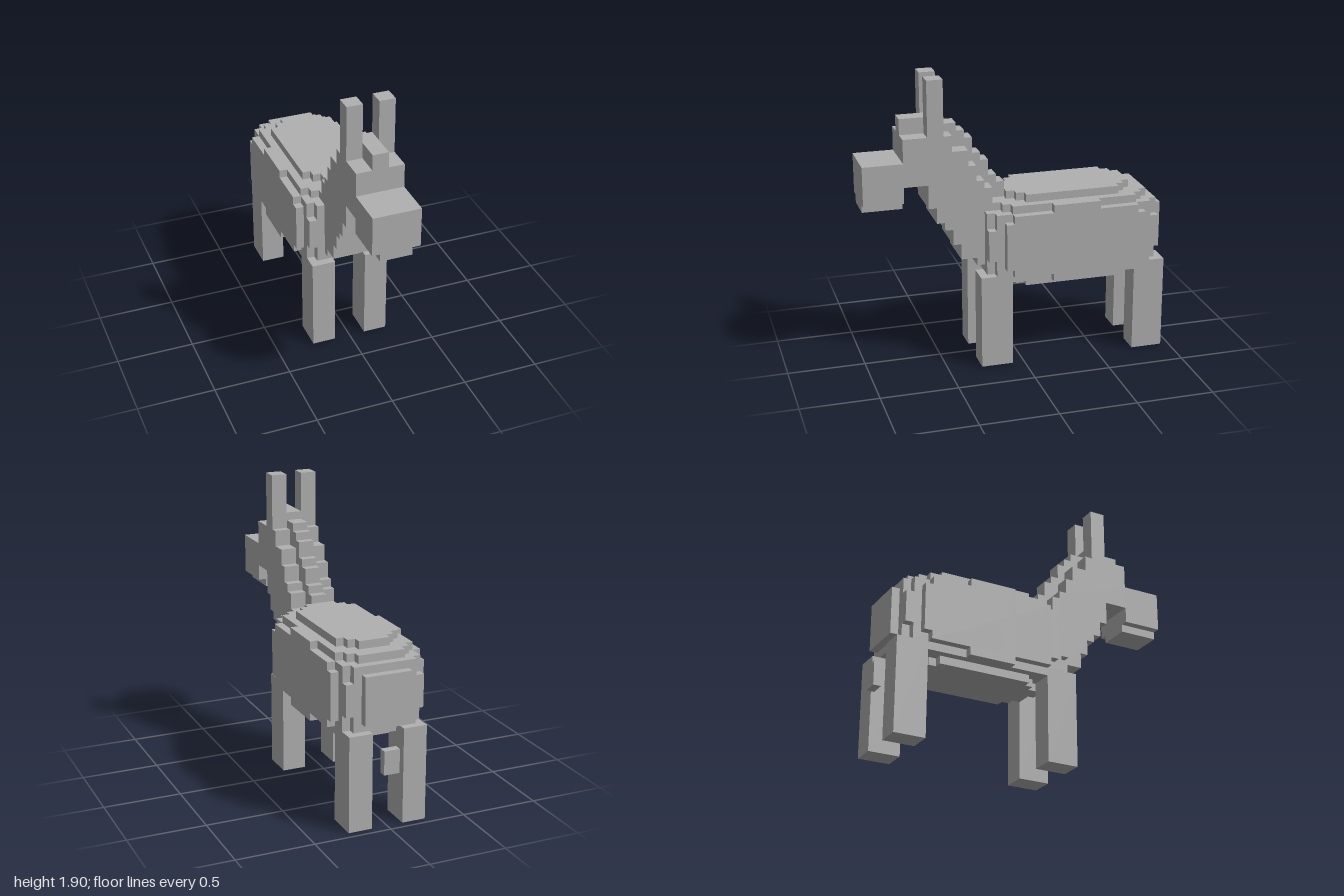
import * as THREE from 'three';

const U = 2 / 39; // edge of one block; all sizes below are counted in blocks

export function createModel() {
  const model = new THREE.Group();
  const grey = new THREE.MeshStandardMaterial({ color: 0xb0b0b0 });
  grey.name = 'grey';

  // Box between block coordinates; z is counted forward from the tail tip
  function box(name, x0, x1, y0, y1, z0, z1, parent = model) {
    const mesh = new THREE.Mesh(
      new THREE.BoxGeometry((x1 - x0) * U, (y1 - y0) * U, (z1 - z0) * U), grey);
    mesh.position.set((x0 + x1) / 2 * U, (y0 + y1) / 2 * U, (z0 + z1) / 2 * U - 1);
    mesh.name = name;
    parent.add(mesh);
  }

  // Stepped side profile, extruded across x. Steps are [zEnd, y] columns.
  function stepped(name, halfWidth, zStart, bottom, top) {
    const lower = [], upper = [];
    const trace = (steps, out) => {
      let z = zStart;
      for (const [zEnd, y] of steps) {
        out.push(new THREE.Vector2(z * U - 1, y * U), new THREE.Vector2(zEnd * U - 1, y * U));
        z = zEnd;
      }
    };
    trace(bottom, lower);
    trace(top, upper);
    const shape = new THREE.Shape([...lower, ...upper.reverse()]);
    const geometry = new THREE.ExtrudeGeometry(shape, { depth: 2 * halfWidth * U, bevelEnabled: false });
    geometry.translate(0, 0, -halfWidth * U);
    geometry.rotateY(-Math.PI / 2);
    const mesh = new THREE.Mesh(geometry, grey);
    mesh.name = name;
    model.add(mesh);
  }

  // Barrel body: nested slabs [half width, y0, y1, z0, z1]
  const body = new THREE.Group();
  body.name = 'body';
  model.add(body);
  const slabs = [
    [2, 10, 22, 5, 21], [3, 10, 22, 6, 20], [4, 10, 22, 7, 19],
    [3, 11, 21, 3, 23], [4, 11, 21, 4, 22], [5, 11, 21, 5, 21], [6, 11, 21, 10, 16],
    [4, 12, 20, 2, 24], [5, 12, 20, 3, 23], [6, 12, 20, 5, 21],
    [5, 14, 18, 2, 24], [6, 13, 19, 4, 22], [3, 13, 19, 1, 25],
  ];
  for (const [w, y0, y1, z0, z1] of slabs) box('bodySlab', -w, w, y0, y1, z0, z1, body);

  // Legs and ears, mirrored
  for (const [side, s] of [['left', 1], ['right', -1]]) {
    const pair = (a, b) => (s > 0 ? [a, b] : [-b, -a]);
    box(side + 'FrontLeg', ...pair(2, 5), 0, 12, 21, 25);
    box(side + 'BackLeg', ...pair(2, 5), 0, 12, 1, 5);
    box(side + 'Ear', ...pair(1, 3), 30, 37, 29, 31);
  }
  box('tail', -1, 1, 7, 10, 0, 1);

  // Neck, head and muzzle in one stepped profile
  stepped('neckAndHead', 3, 22,
    [[25, 13], [27, 14], [28, 16], [29, 18], [30, 19], [31, 21], [34, 24], [39, 22]],
    [[23, 21], [24, 23], [25, 24], [26, 26], [28, 28], [34, 30], [39, 27]]);
  box('jaw', -2, 2, 21, 22, 34, 39);

  // Narrow mane down the back of the neck, ending in a forelock
  stepped('mane', 1, 21,
    [[23, 20], [25, 22], [27, 25], [34, 27]],
    [[22, 23], [23, 24], [24, 26], [25, 27], [26, 29], [27, 30], [29, 31], [34, 32]]);

  return model;
}
